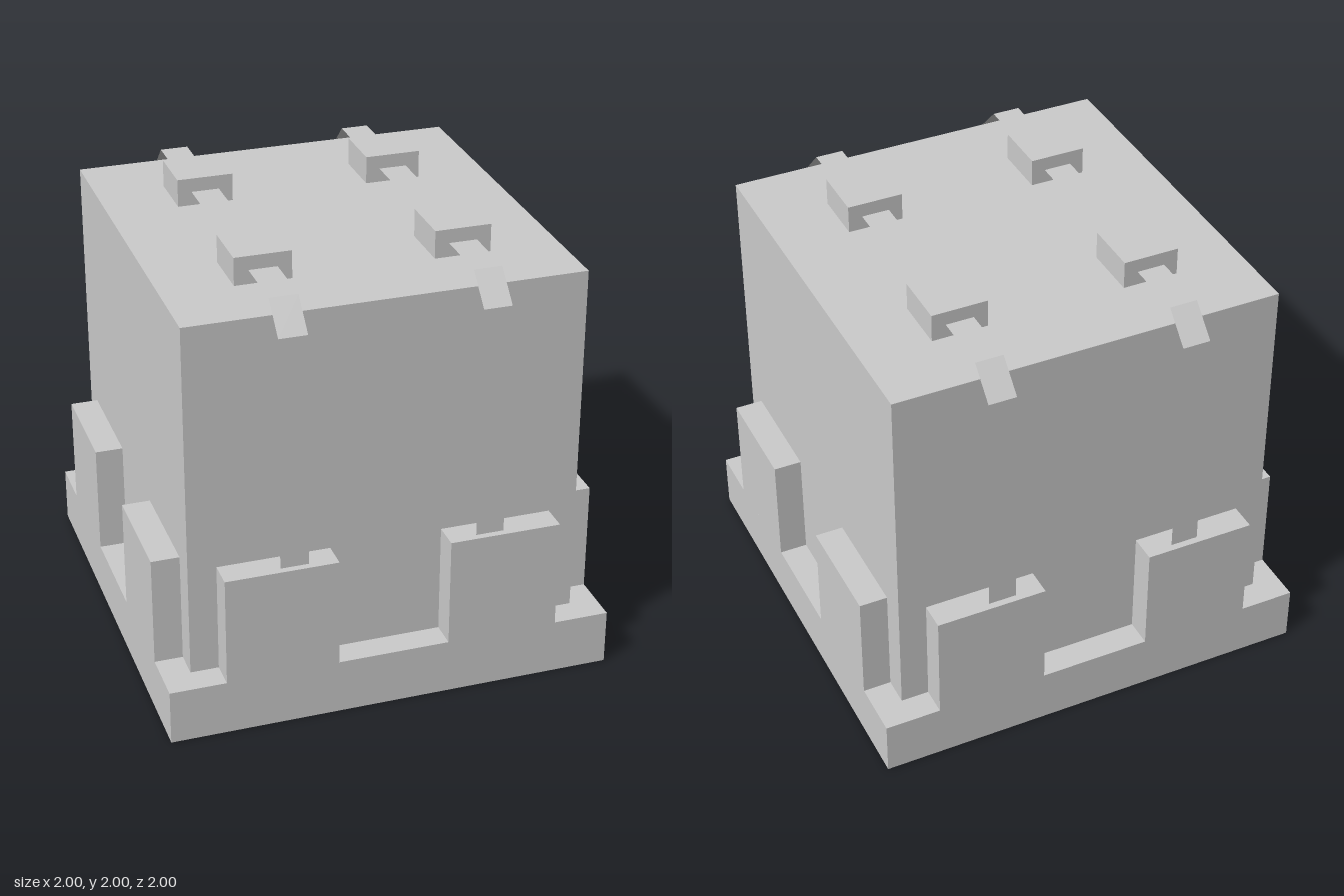
import * as THREE from 'three';

const gray = new THREE.MeshStandardMaterial({ color: 0xcccccc, side: THREE.DoubleSide });
gray.name = 'plain gray';

function box(name, w, h, d, x, y, z) {
  const mesh = new THREE.Mesh(new THREE.BoxGeometry(w, h, d), gray);
  mesh.name = name;
  mesh.position.set(x, y, z);
  return mesh;
}

// Thin flat band that follows a path of [y, z] points, with hard folds
function bandGeometry(width, path) {
  const pos = [];
  const h = width / 2;
  for (let i = 0; i < path.length - 1; i++) {
    const [ya, za] = path[i];
    const [yb, zb] = path[i + 1];
    pos.push(-h, ya, za, h, ya, za, h, yb, zb);
    pos.push(-h, ya, za, h, yb, zb, -h, yb, zb);
  }
  const geo = new THREE.BufferGeometry();
  geo.setAttribute('position', new THREE.Float32BufferAttribute(pos, 3));
  geo.computeVertexNormals();
  return geo;
}

export function createModel() {
  const group = new THREE.Group();
  group.name = 'strappedCrate';

  // Base slab and main body
  group.add(box('base', 2, 0.25, 2, 0, 0.125, 0));
  group.add(box('body', 1.75, 1.625, 1.75, 0, 1.0625, 0));

  // Two upright clips on each of the four sides
  for (let side = 0; side < 4; side++) {
    const clips = new THREE.Group();
    clips.name = 'sideClips';
    for (const s of [-1, 1]) clips.add(box('clip', 0.5, 0.5, 0.125, s * 0.5, 0.5, 0.9375));
    clips.rotation.y = side * Math.PI / 2;
    group.add(clips);
  }

  // Straps running up the front, over the top and down the back
  const strapGeo = bandGeometry(0.125, [
    [0.75, 0.969], [1.8125, 0.969], [1.9375, 0.844],
    [1.9375, -0.844], [1.8125, -0.969], [0.75, -0.969],
  ]);
  for (const sx of [-1, 1]) {
    const strap = new THREE.Mesh(strapGeo, gray);
    strap.name = 'strap';
    strap.position.x = sx * 0.4375;
    group.add(strap);
    // Blocks holding the strap on the top
    for (const sz of [-1, 1]) {
      group.add(box('strapBlock', 0.25, 0.125, 0.25, sx * 0.4375, 1.9375, sz * 0.4375));
    }
  }
  return group;
}
